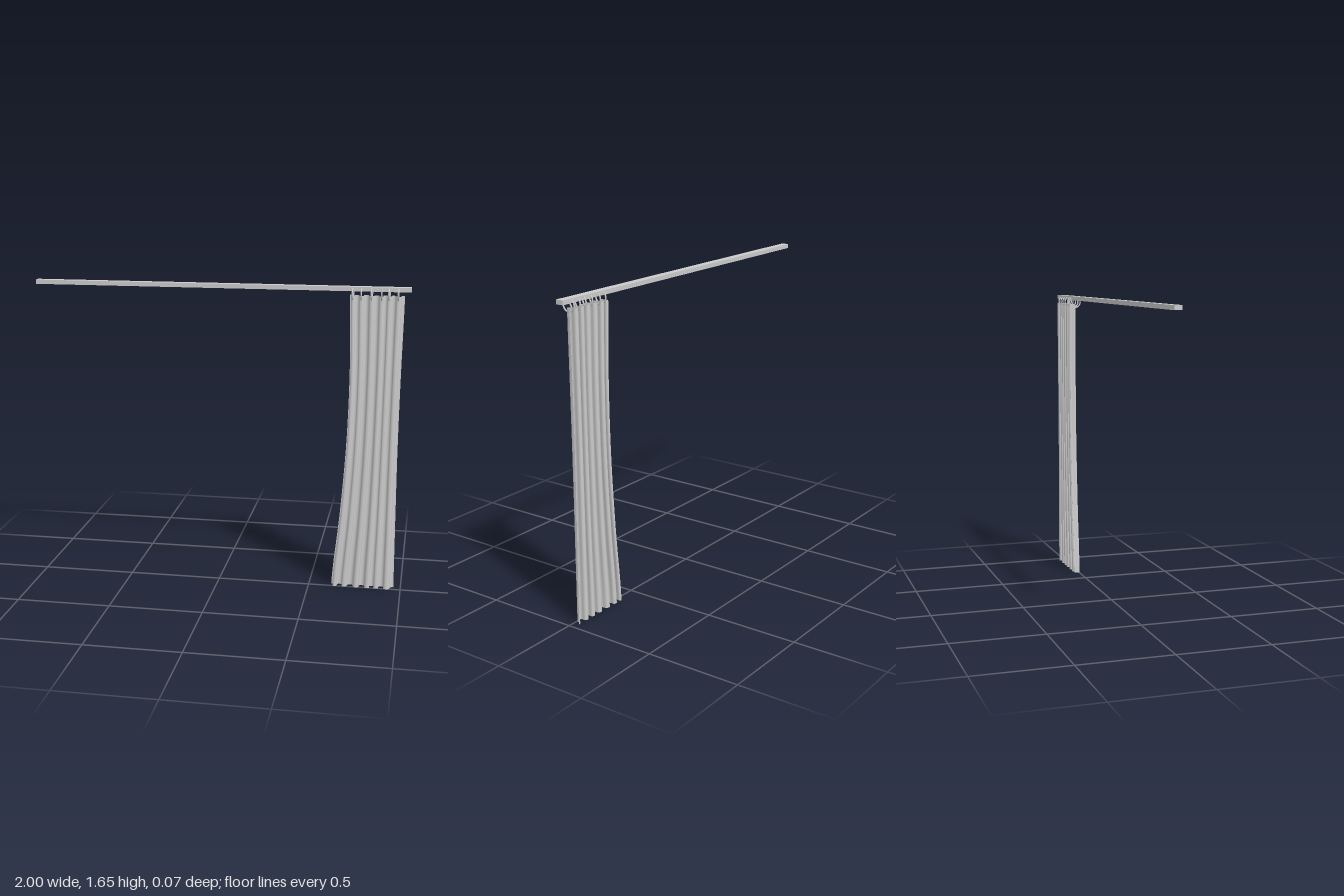
import * as THREE from 'three';

const RING_X = [0.70, 0.743, 0.797, 0.848, 0.887, 0.933];
const TOP_LEFT = 0.684, TOP_RIGHT = 0.966, TOP_Y = 1.6;

// Linear lookup in evenly spaced keys, t from 0 to 1
function lerpKeys(keys, t) {
  const f = t * (keys.length - 1);
  const i = Math.min(Math.floor(f), keys.length - 2);
  return keys[i] + (keys[i + 1] - keys[i]) * (f - i);
}

// Smooth outline of a curtain edge, from floor to top
const edge = (points) => new THREE.SplineCurve(points.map(([x, y]) => new THREE.Vector2(x, y)));
const innerEdge = edge([[0.622, 0], [0.658, 0.4], [0.684, 0.8], [0.692, 1.2], [TOP_LEFT, TOP_Y]]);
const outerEdge = edge([[0.962, 0], [0.959, 0.4], [0.957, 0.8], [0.96, 1.2], [TOP_RIGHT, TOP_Y]]);

// Fold positions across the cloth: forward folds at the rings, backward folds between
function foldKeys() {
  const keys = [TOP_LEFT];
  RING_X.forEach((x, i) => {
    keys.push(x, i < RING_X.length - 1 ? (x + RING_X[i + 1]) / 2 : TOP_RIGHT);
  });
  return keys.map((x) => (x - TOP_LEFT) / (TOP_RIGHT - TOP_LEFT));
}

function curtainGeometry() {
  const geometry = new THREE.PlaneGeometry(1, 1, 192, 32);
  const keys = foldKeys();
  const pos = geometry.attributes.position;
  for (let i = 0; i < pos.count; i++) {
    const u = pos.getX(i) + 0.5, v = pos.getY(i) + 0.5;
    const phase = u * RING_X.length * Math.PI * 2;
    const left = innerEdge.getPoint(v).x, right = outerEdge.getPoint(v).x;
    // The doubled sine makes each fold bulge over its neighbours
    const x = left + (right - left) * lerpKeys(keys, u) + 0.005 * Math.sin(phase * 2);
    pos.setXYZ(i, x, v * TOP_Y, -0.014 - 0.019 * Math.cos(phase));
  }
  geometry.computeVertexNormals();
  return geometry;
}

export function createModel() {
  const group = new THREE.Group();
  const material = new THREE.MeshStandardMaterial({ color: 0xcccccc });
  const clothMaterial = new THREE.MeshStandardMaterial({ color: 0xcccccc, side: THREE.DoubleSide });

  const add = (name, geometry, mat, x = 0, y = 0, z = 0) => {
    const mesh = new THREE.Mesh(geometry, mat);
    mesh.name = name;
    mesh.position.set(x, y, z);
    group.add(mesh);
    return mesh;
  };

  // Rail
  add('rail', new THREE.BoxGeometry(2, 0.023, 0.04), material, 0, 1.636, -0.002);

  // Rings around the rail, through the top of the cloth
  const ringGeometry = new THREE.TorusGeometry(0.032, 0.004, 8, 32);
  RING_X.forEach((x, i) => {
    const ring = add(`ring${i + 1}`, ringGeometry, material, x, 1.612, 0);
    ring.rotation.y = Math.PI / 2 + (i % 2 ? 0.05 : -0.05);
  });

  // Curtain
  add('curtain', curtainGeometry(), clothMaterial);

  return group;
}
